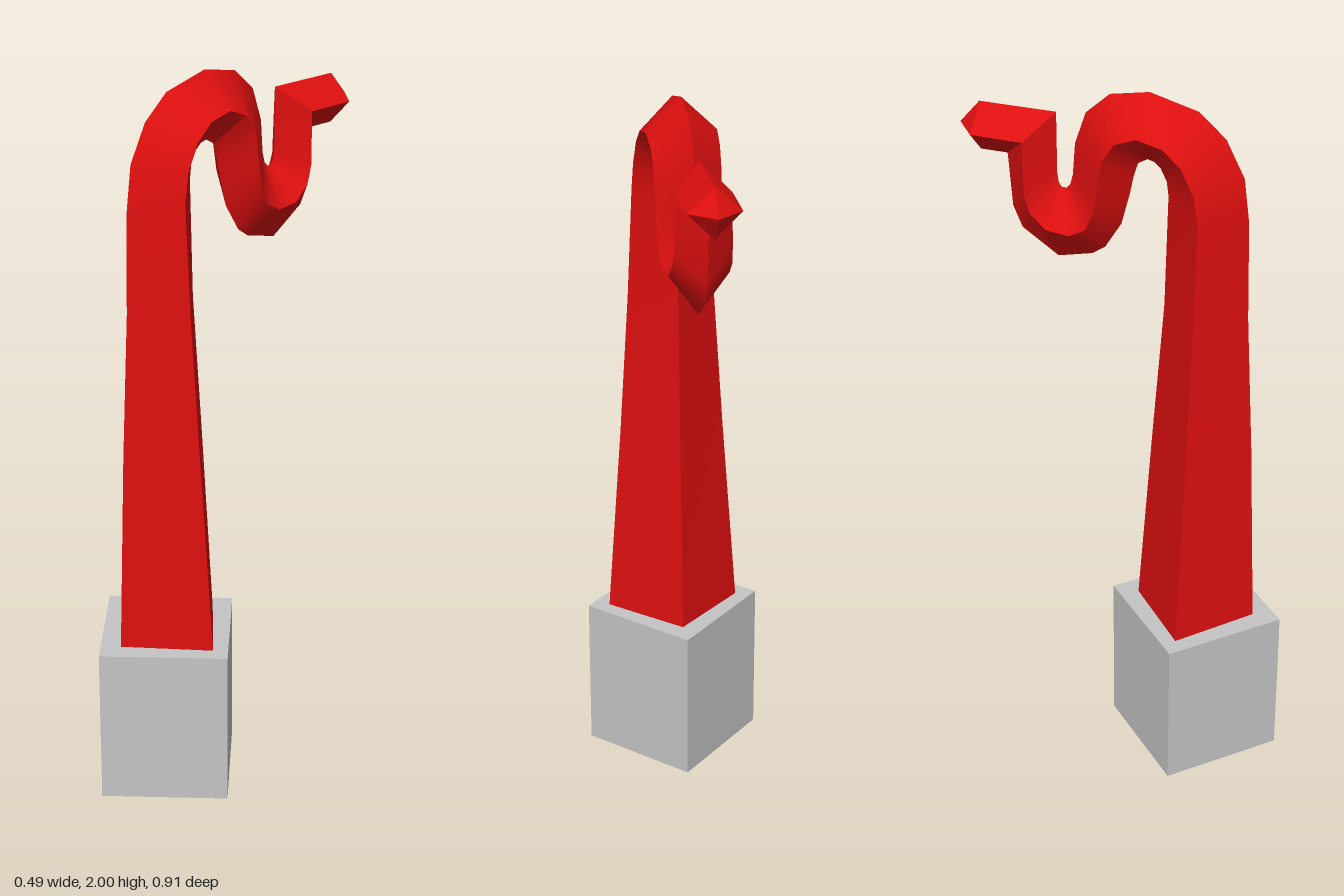
import * as THREE from 'three';
import { toCreasedNormals } from 'three/addons/utils/BufferGeometryUtils.js';

const red = new THREE.MeshStandardMaterial({ name: 'red', color: 0xdd0f0f });
const grey = new THREE.MeshStandardMaterial({ name: 'grey', color: 0xc4c4c4 });

// Diamond cross-sections: outer ridge z,y | side ridges z,y | inner ridge z,y | half width
const SECTIONS = [
  [0.376, 0.43, 0.205, 0.43, 0.034, 0.43, 0.188],
  [0.354, 1.0, 0.213, 1.0, 0.074, 1.0, 0.146],
  [0.333, 1.4, 0.22, 1.4, 0.104, 1.4, 0.12],
  [0.327, 1.68, 0.223, 1.70, 0.112, 1.72, 0.106],
  [0.312, 1.80, 0.21, 1.78, 0.107, 1.76, 0.103],
  [0.262, 1.90, 0.175, 1.85, 0.09, 1.795, 0.10],
  [0.19, 1.965, 0.125, 1.895, 0.073, 1.81, 0.098],
  [0.06, 2.0, 0.055, 1.91, 0.055, 1.815, 0.094],
  [-0.045, 1.98, -0.005, 1.885, 0.03, 1.80, 0.09],
  [-0.11, 1.92, -0.038, 1.83, 0.018, 1.76, 0.088],
  [-0.14, 1.83, -0.05, 1.76, 0.008, 1.71, 0.087],
  [-0.147, 1.74, -0.06, 1.69, -0.015, 1.62, 0.086],
  [-0.155, 1.71, -0.085, 1.63, -0.06, 1.545, 0.085],
  [-0.165, 1.70, -0.13, 1.605, -0.095, 1.52, 0.083],
  [-0.178, 1.70, -0.195, 1.61, -0.19, 1.497, 0.08],
  [-0.186, 1.712, -0.24, 1.65, -0.29, 1.565, 0.077],
  [-0.19, 1.74, -0.255, 1.70, -0.315, 1.625, 0.075],
  [-0.19, 1.91, -0.258, 1.845, -0.326, 1.775, 0.072],
  [-0.40, 1.91, -0.40, 1.845, -0.40, 1.775, 0.07],
];

function createBody() {
  const rings = SECTIONS.map(([oz, oy, cz, cy, iz, iy, w]) =>
    [[0, oy, oz], [w, cy, cz], [0, iy, iz], [-w, cy, cz]]);
  const pos = [];
  const tri = (...points) => points.forEach((p) => pos.push(...p));
  const last = rings[rings.length - 1];
  const tip = [0, 1.845, -0.455];
  for (let j = 0; j < 4; j++) {
    const k = (j + 1) % 4;
    // swept sides
    for (let i = 0; i < rings.length - 1; i++) {
      const a = rings[i], b = rings[i + 1];
      tri(a[j], a[k], b[k]);
      tri(a[j], b[k], b[j]);
    }
    // pointed tip
    tri(last[j], last[k], tip);
  }
  // closed bottom
  const [p, q, r, s] = rings[0];
  tri(p, r, q);
  tri(p, s, r);
  const geometry = new THREE.BufferGeometry();
  geometry.setAttribute('position', new THREE.Float32BufferAttribute(pos, 3));
  return toCreasedNormals(geometry, 0.7);
}

export function createModel() {
  const group = new THREE.Group();
  group.name = 'curvedPost';

  // square block standing corner-forward
  const base = new THREE.Mesh(new THREE.BoxGeometry(0.35, 0.445, 0.35), grey);
  base.name = 'base';
  base.position.set(0, 0.2225, 0.207);
  base.rotation.y = Math.PI / 4;
  group.add(base);

  // tapering stem with hooked neck and pointed head
  const body = new THREE.Mesh(createBody(), red);
  body.name = 'curvedStem';
  group.add(body);
  return group;
}
